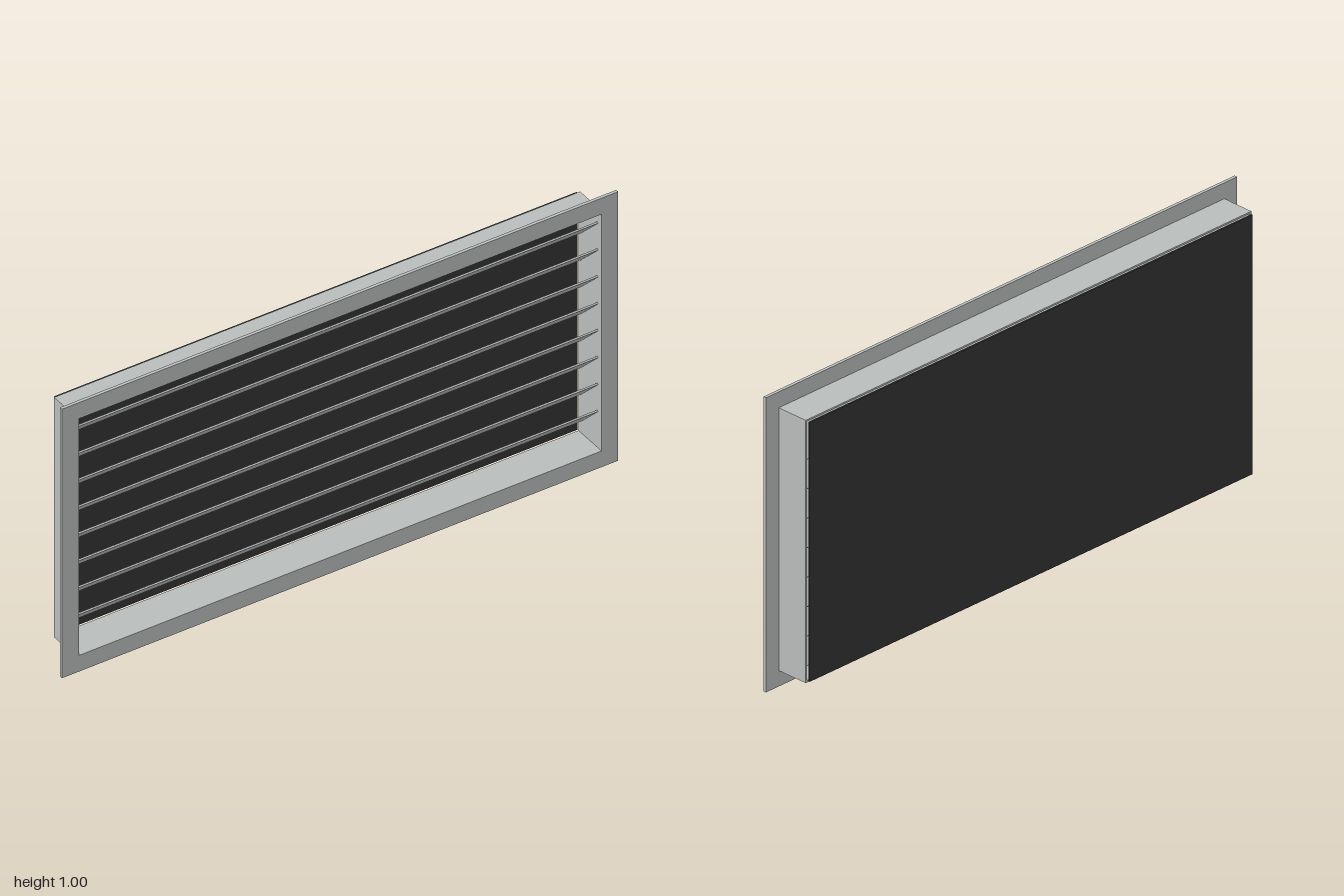
import * as THREE from 'three';

// Rectangular ring extruded from z0 to z1, with half width w, half height h and a rectangular hole
function ring(w, h, holeW, holeH, z0, z1) {
  const shape = new THREE.Shape([
    new THREE.Vector2(-w, -h), new THREE.Vector2(w, -h),
    new THREE.Vector2(w, h), new THREE.Vector2(-w, h),
  ]);
  shape.holes.push(new THREE.Path([
    new THREE.Vector2(-holeW, -holeH), new THREE.Vector2(-holeW, holeH),
    new THREE.Vector2(holeW, holeH), new THREE.Vector2(holeW, -holeH),
  ]));
  const geo = new THREE.ExtrudeGeometry(shape, { depth: z1 - z0, bevelEnabled: false });
  return geo.translate(0, 0.5, z0);
}

export function createModel() {
  const group = new THREE.Group();
  group.name = 'louvreGrille';

  const aluminium = new THREE.MeshStandardMaterial({ color: 0xb8bcba });
  aluminium.name = 'aluminium grey';
  const backing = new THREE.MeshStandardMaterial({ color: 0x333333 });
  backing.name = 'dark backing';

  const add = (name, geo, mat) => {
    const mesh = new THREE.Mesh(geo, mat);
    mesh.name = name;
    group.add(mesh);
    return mesh;
  };

  // Front flange and the sleeve behind it
  add('flange', ring(1, 0.5, 0.94, 0.44, 0.057, 0.068), aluminium);
  add('sleeve', ring(0.946, 0.446, 0.94, 0.44, -0.057, 0.057), aluminium);

  // Eight slanted blades, front edge high and back edge low
  const blades = 8;
  for (let i = 0; i < blades; i++) {
    const blade = add('blade' + (i + 1), new THREE.BoxGeometry(1.88, 0.006, 0.133), aluminium);
    blade.position.set(0, 0.15 + i * 0.1, 0);
    blade.rotation.x = -Math.PI / 4;
  }

  // Thin backing screen, just clear of the sleeve
  add('backScreen', new THREE.BoxGeometry(1.88, 0.88, 0.006).translate(0, 0.5, -0.065), backing);

  return group;
}
